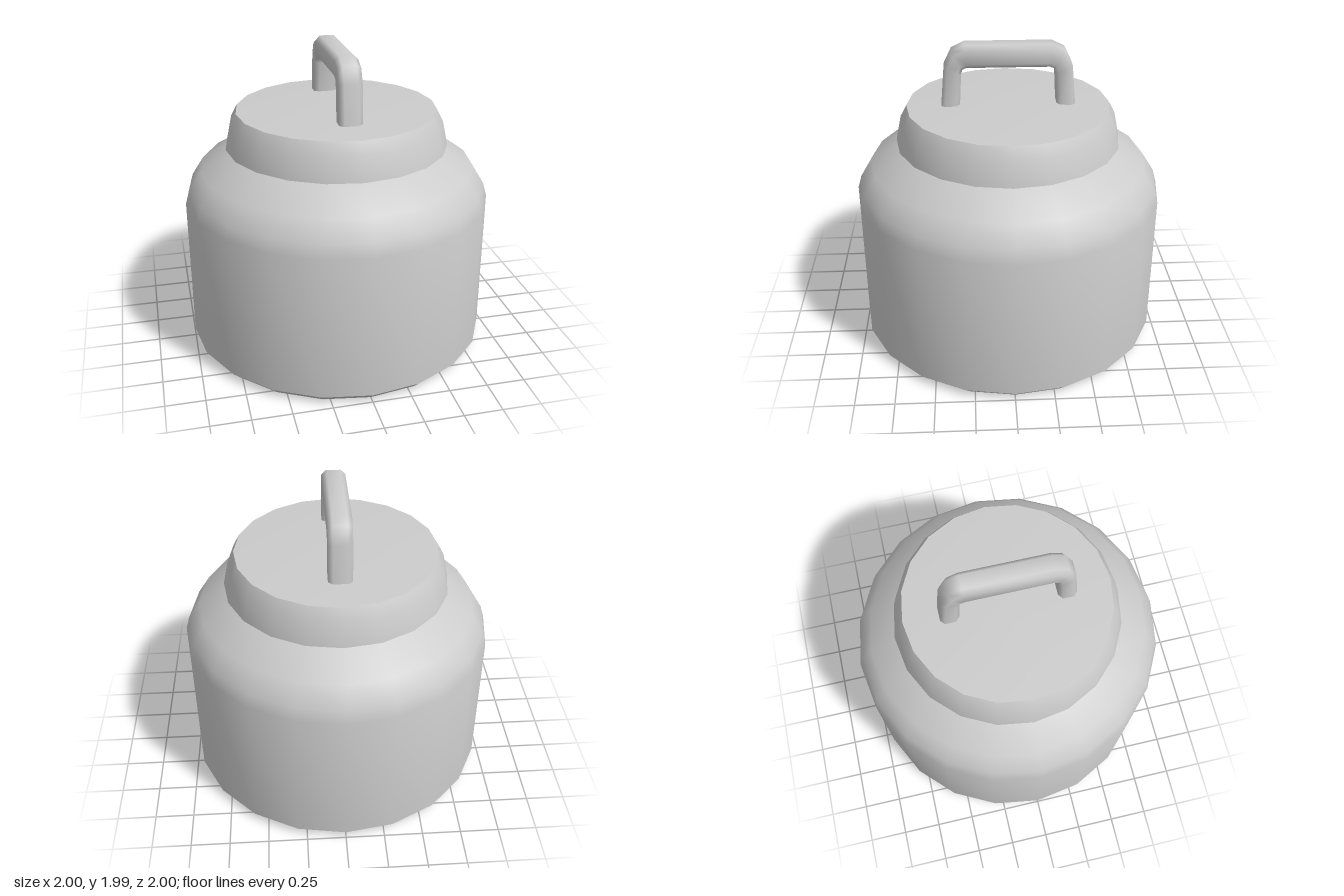
import * as THREE from 'three';
import { toCreasedNormals } from 'three/addons/utils/BufferGeometryUtils.js';

const material = new THREE.MeshStandardMaterial({ color: 0xcccccc });

// Twenty-sided turned part, smooth around with sharp rims
function turned(name, profile) {
  const points = profile.map(([r, y]) => new THREE.Vector2(r, y));
  const geometry = toCreasedNormals(new THREE.LatheGeometry(points, 20), 0.6);
  const mesh = new THREE.Mesh(geometry, material);
  mesh.name = name;
  return mesh;
}

// Bevelled bar swept through pairs of outer and inner points in the z-y plane
function handleGeometry() {
  const half = [
    // outer z, y, inner z, y
    [0.428, 1.57, 0.308, 1.57],
    [0.403, 1.85, 0.295, 1.8],
    [0.355, 1.95, 0.287, 1.832],
    [0.275, 1.99, 0.262, 1.843],
  ];
  const mirrored = half.map(([oz, oy, iz, iy]) => [-oz, oy, -iz, iy]).reverse();
  const stations = [...half, ...mirrored];
  // Octagonal section: x position and fraction from inner to outer side
  const section = [
    [0.075, 0.2], [0.075, 0.8], [0.045, 1], [-0.045, 1],
    [-0.075, 0.8], [-0.075, 0.2], [-0.045, 0], [0.045, 0],
  ];
  const n = section.length;
  const positions = [];
  const index = [];
  stations.forEach(([oz, oy, iz, iy], s) => {
    for (const [x, t] of section) positions.push(x, iy + (oy - iy) * t, iz + (oz - iz) * t);
    if (s === 0) return;
    for (let i = 0; i < n; i++) {
      const a = (s - 1) * n + i;
      const b = (s - 1) * n + ((i + 1) % n);
      index.push(a, a + n, b, b, a + n, b + n);
    }
  });
  const geometry = new THREE.BufferGeometry();
  geometry.setAttribute('position', new THREE.Float32BufferAttribute(positions, 3));
  geometry.setIndex(index);
  geometry.computeVertexNormals();
  return geometry;
}

export function createModel() {
  const group = new THREE.Group();
  group.name = 'jar';

  // Body with bevelled foot, rounded shoulder and a neck hidden by the lid
  group.add(turned('body', [
    [0, 0], [0.95, 0], [1, 0.05], [1, 1], [0.975, 1.085],
    [0.895, 1.21], [0.68, 1.34], [0.63, 1.37], [0.62, 1.45],
  ]));

  // Overhanging lid with a slightly domed top
  group.add(turned('lid', [
    [0, 1.35], [0.725, 1.35], [0.69, 1.51], [0.65, 1.585], [0, 1.615],
  ]));

  // Carrying handle, its feet sunk into the lid
  const handle = new THREE.Mesh(handleGeometry(), material);
  handle.name = 'handle';
  group.add(handle);

  return group;
}
